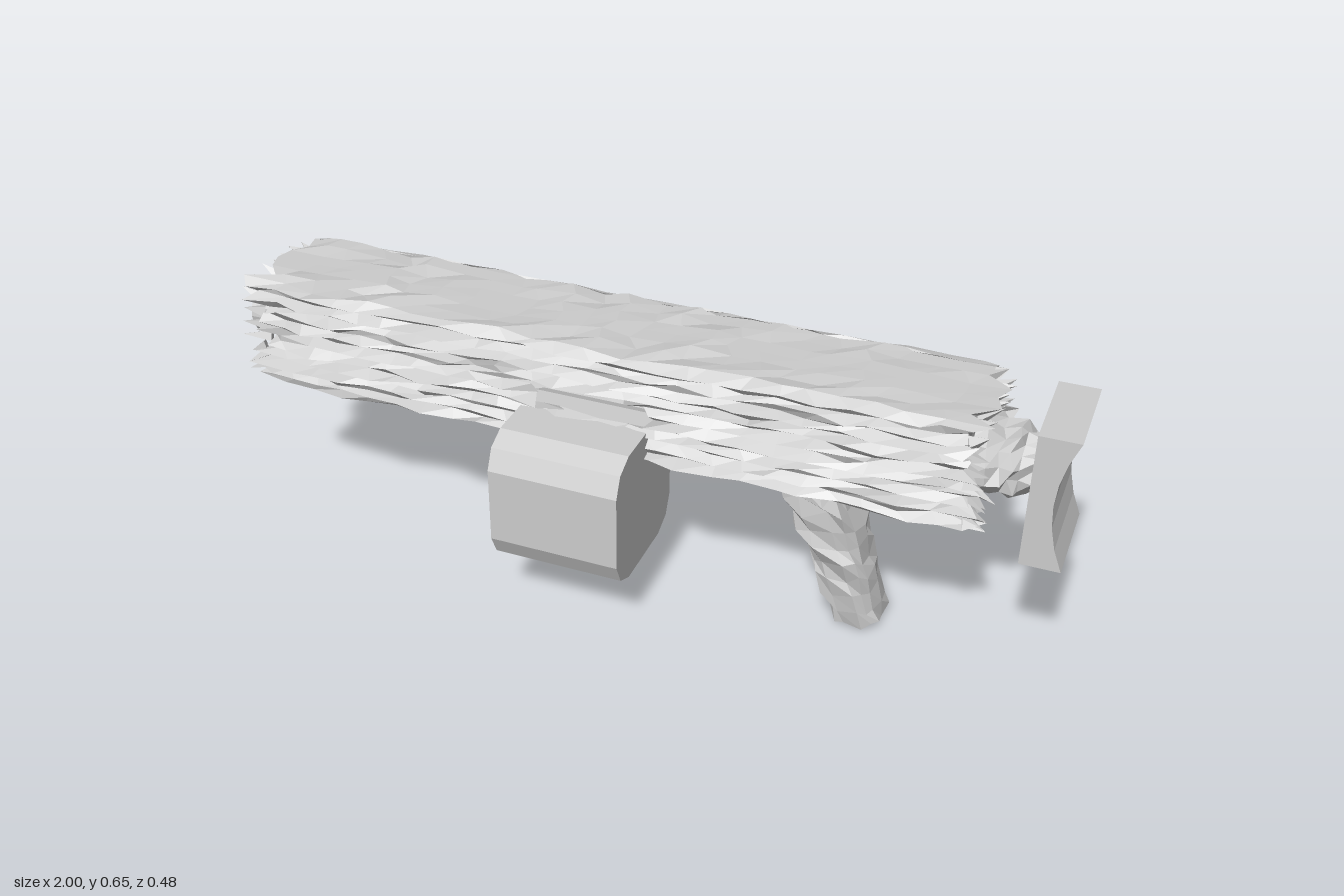
import * as THREE from 'three';

const material = new THREE.MeshStandardMaterial({ color: 0xcccccc, flatShading: true, side: THREE.DoubleSide });

// Repeatable noise in -1..1 from two integers
function noise(a, b) {
  const s = Math.sin(a * 127.1 + b * 311.7) * 43758.5453;
  return (s - Math.floor(s)) * 2 - 1;
}

function mesh(name, geometry) {
  const m = new THREE.Mesh(geometry, material);
  m.name = name;
  return m;
}

// Skin over rings of points with fan-capped ends; skip(p) leaves openings
function loft(rings, startCap, endCap, skip = () => false) {
  const out = [];
  const tri = (...pts) => pts.forEach(p => out.push(p.x, p.y, p.z));
  const n = rings[0].length;
  for (let i = 0; i + 1 < rings.length; i++) {
    for (let j = 0; j < n; j++) {
      const k = (j + 1) % n;
      const [a, b, c, d] = [rings[i][j], rings[i][k], rings[i + 1][j], rings[i + 1][k]];
      const mid = a.clone().add(b).add(c).add(d).multiplyScalar(0.25);
      if (skip(mid)) continue;
      tri(a, b, c);
      tri(b, d, c);
    }
  }
  const last = rings[rings.length - 1];
  for (let j = 0; j < n; j++) {
    const k = (j + 1) % n;
    tri(startCap, rings[0][k], rings[0][j]);
    tri(endCap, last[j], last[k]);
  }
  const g = new THREE.BufferGeometry();
  g.setAttribute('position', new THREE.Float32BufferAttribute(out, 3));
  g.computeVertexNormals();
  return g;
}

// Long bark-like body: ridged sides, flatter top and bottom, splintered ends
function bodyGeometry() {
  const zc = -0.07, sideN = 18, flatN = 6, stations = 24;
  const rings = [];
  for (let i = 0; i <= stations; i++) {
    const x = -0.93 + 1.73 * i / stations;
    const end = i === 0 || i === stations;
    const nearEnd = i < 2 || i > stations - 2;
    const ring = [];
    const push = (y, z, j) => {
      const splinter = end ? noise(j, i + 40) * 0.035 : noise(j, i + 40) * 0.02;
      ring.push(new THREE.Vector3(x + splinter, y, z));
    };
    // slats last two stations, so neighbouring ridges break at different places
    const ridge = j => {
      const block = Math.floor((i + (j % 3)) / 2);
      const out = j % 2 ? 0.152 : 0.132;
      return out + noise(j, block) * 0.01 + noise(j, i + 70) * 0.006 - (nearEnd ? 0.008 : 0);
    };
    const wave = s => 0.008 * noise(s, i + 9);
    for (let j = 0; j < flatN; j++) {
      const u = j / flatN * 2 - 1;
      push(0.664 + wave(Math.abs(u) > 0.6 ? 3 : 5), zc + u * 0.13, j);
    }
    for (let j = 0; j <= sideN; j++)
      push(0.665 - 0.262 * j / sideN + noise(j, i + 20) * 0.005, zc + ridge(j), j + 10);
    for (let j = 0; j < flatN; j++) {
      const u = 1 - (j + 0.5) / flatN * 2;
      push(0.397 + wave(j + 11), zc + u * 0.13, j + 40);
    }
    for (let j = sideN; j >= 0; j--)
      push(0.665 - 0.262 * j / sideN + noise(j + 50, i + 20) * 0.005, zc - ridge(j + 30), j + 60);
    rings.push(ring);
  }
  // inset rings make the ragged end faces
  const centre = x => new THREE.Vector3(x, 0.53, zc);
  const inset = (ring, x) => ring.map(p => {
    const q = p.clone().lerp(centre(x), 0.25);
    q.x = x;
    return q;
  });
  rings.unshift(inset(rings[0], -0.9));
  rings.push(inset(rings[rings.length - 1], 0.775));
  const port = p => Math.abs(p.z - zc) > 0.1 && ((p.x + 0.06) / 0.15) ** 2 + ((p.y - 0.525) / 0.032) ** 2 < 1;
  return loft(rings, centre(-0.9), centre(0.775), port);
}

// Splinter cones crowding the rim at both ends of the body
function rimSplinters() {
  const group = new THREE.Group();
  group.name = 'rimSplinters';
  for (const side of [-1, 1]) {
    for (let k = 0; k < 22; k++) {
      const a = k / 22 * Math.PI * 2;
      const c = Math.cos(a), s = Math.sin(a);
      const m = Math.max(Math.abs(c), Math.abs(s));
      const length = 0.055 + 0.02 * noise(k, side + 5);
      const spike = mesh('splinter', new THREE.ConeGeometry(0.018, length, 4));
      spike.position.set(side < 0 ? -0.945 : 0.8, 0.53 + 0.115 * c / m, -0.07 + 0.125 * s / m);
      const dir = new THREE.Vector3(side, c * 0.6 + noise(k, 8) * 0.3, s * 0.6 + noise(k, 9) * 0.3);
      spike.quaternion.setFromUnitVectors(new THREE.Vector3(0, 1, 0), dir.normalize());
      group.add(spike);
    }
  }
  return group;
}

// Leaning grip of rounded-rectangle sections with a rough bottom
function gripGeometry() {
  const rings = [], n = 14, steps = 9;
  for (let i = 0; i <= steps; i++) {
    const t = i / steps, ring = [];
    for (let j = 0; j < n; j++) {
      const a = j / n * Math.PI * 2;
      const c = Math.cos(a), s = Math.sin(a);
      const round = v => Math.sign(v) * Math.abs(v) ** 0.65;
      const r = 1 + noise(j, i + 130) * 0.13;
      ring.push(new THREE.Vector3(
        0.43 + 0.125 * t + (0.078 - 0.018 * t) * round(c) * r,
        0.42 - 0.39 * t + noise(j, i + 160) * 0.014,
        -0.058 - 0.012 * t + (0.1 - 0.033 * t) * round(s) * r));
    }
    rings.push(ring);
  }
  return loft(rings, new THREE.Vector3(0.43, 0.42, -0.06), new THREE.Vector3(0.555, 0.045, -0.07));
}

// Spiky neck between the body and the shoulder plate
function neckGeometry() {
  const n = 14;
  const rings = [[0.76, 0.085], [0.81, 0.085], [0.835, 0.082], [0.86, 0.075], [0.885, 0.06], [0.91, 0.06]].map(([x, r], i) =>
    Array.from({ length: n }, (_, j) => {
      const a = j / n * Math.PI * 2;
      const q = r * (1 + noise(j, i + 200) * 0.2);
      return new THREE.Vector3(x + noise(j, i + 230) * 0.012, 0.525 + q * Math.cos(a), -0.07 + q * Math.sin(a));
    }));
  return loft(rings, new THREE.Vector3(0.76, 0.525, -0.07), new THREE.Vector3(0.91, 0.525, -0.07));
}

// Shoulder plate with a concave outer face
function plateGeometry() {
  const s = new THREE.Shape();
  s.moveTo(0.91, 0.345);
  s.lineTo(1, 0.345);
  s.quadraticCurveTo(0.925, 0.505, 1, 0.665);
  s.lineTo(0.91, 0.665);
  const g = new THREE.ExtrudeGeometry(s, { depth: 0.235, bevelEnabled: false, curveSegments: 6 });
  return g.translate(0, 0, -0.185);
}

// Magazine: a square block with corners cut in two steps
function magazineGeometry() {
  const h = 0.164, pts = [];
  for (let q = 0; q < 4; q++) {
    for (const [u, v] of [[h, -0.092], [h, 0.092], [h - 0.023, h - 0.023]]) {
      const a = q * Math.PI / 2;
      pts.push(new THREE.Vector2(u * Math.cos(a) - v * Math.sin(a), u * Math.sin(a) + v * Math.cos(a)));
    }
  }
  const g = new THREE.ExtrudeGeometry(new THREE.Shape(pts), { depth: 0.31, bevelEnabled: false });
  return g.rotateY(Math.PI / 2).translate(-0.24, 0.319, 0.081);
}

// Hollow muzzle tube
function muzzleGeometry() {
  const profile = [[0.045, -0.06], [0.045, 0.06], [0.064, 0.06], [0.064, -0.06]].map(p => new THREE.Vector2(...p));
  return new THREE.LatheGeometry(profile.reverse(), 16).rotateZ(Math.PI / 2).translate(-0.94, 0.523, -0.07);
}

export function createModel() {
  const model = new THREE.Group();
  model.name = 'blaster';
  model.add(
    mesh('body', bodyGeometry()),
    rimSplinters(),
    mesh('grip', gripGeometry()),
    mesh('stockNeck', neckGeometry()),
    mesh('shoulderPlate', plateGeometry()),
    mesh('magazine', magazineGeometry()),
    mesh('muzzle', muzzleGeometry()));
  return model;
}
